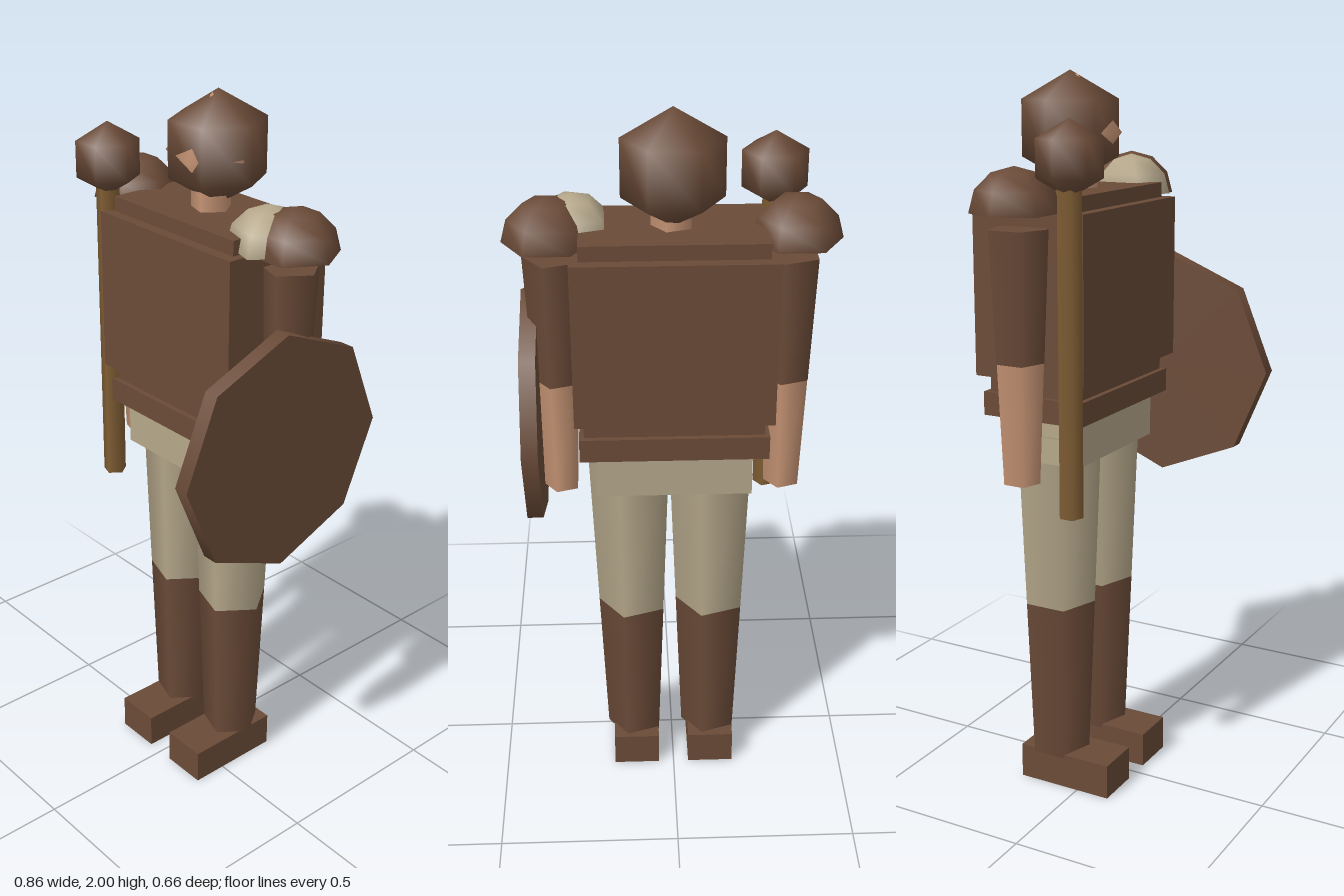
import * as THREE from 'three';

const paint = (name, color) => {
  const m = new THREE.MeshStandardMaterial({ color });
  m.name = name;
  return m;
};

export function createModel() {
  const leather = paint('leather brown', 0x6b4b38);
  const cloth = paint('pale cloth', 0xb5a78a);
  const skin = paint('skin', 0xc69474);
  const wood = paint('staff wood', 0x805e34);
  const model = new THREE.Group();
  const Z = -0.09; // body axis

  const add = (name, geometry, material, x, y, z, parent = model) => {
    const mesh = new THREE.Mesh(geometry, material);
    mesh.name = name;
    mesh.position.set(x, y, z);
    parent.add(mesh);
    return mesh;
  };
  const box = (name, w, y0, y1, d, material, x = 0, z = Z) =>
    add(name, new THREE.BoxGeometry(w, y1 - y0, d), material, x, (y0 + y1) / 2, z);
  // Five-sided tapered limb with one corner towards +x
  const limb = (name, rTop, rBottom, y0, y1, material, x, z = Z) =>
    add(name, new THREE.CylinderGeometry(rTop, rBottom, y1 - y0, 5).rotateY(Math.PI / 2),
      material, x, (y0 + y1) / 2, z);
  // Closed half sphere, flat side down
  const dome = (name, r, sides, material, x, y, z) => {
    const group = new THREE.Group();
    group.name = name;
    group.position.set(x, y, z);
    model.add(group);
    const shell = new THREE.SphereGeometry(r, sides, 3, 0, Math.PI * 2, 0, Math.PI / 2);
    add(name + 'Shell', shell.rotateY(Math.PI), material, 0, 0, 0, group);
    add(name + 'Base', new THREE.CircleGeometry(r, sides).rotateX(Math.PI / 2), material, 0, 0, 0, group);
  };

  // Head, with the face just breaking through the helmet
  add('helmet', new THREE.SphereGeometry(0.15, 6, 3), leather, 0, 1.85, -0.11);
  add('head', new THREE.SphereGeometry(0.122, 5, 2).rotateY(Math.PI).scale(1, 1.25, 1), skin, 0, 1.84, Z);
  limb('neck', 0.055, 0.055, 1.66, 1.8, skin, 0);

  // Torso
  box('tunic', 0.47, 1.15, 1.695, 0.27, leather);
  box('breastplate', 0.516, 1.21, 1.655, 0.332, leather);
  box('belt', 0.495, 1.1, 1.165, 0.3, leather);
  box('hips', 0.414, 0.975, 1.1, 0.24, cloth);

  // Limbs
  for (const [side, s] of [['left', 1], ['right', -1]]) {
    limb(side + 'Thigh', 0.12, 0.101, 0.55, 1.05, cloth, s * 0.11);
    limb(side + 'Boot', 0.101, 0.083, 0.09, 0.55, leather, s * 0.11);
    box(side + 'Foot', 0.132, 0, 0.1, 0.282, leather, s * 0.11, -0.042);
    limb(side + 'Sleeve', 0.08, 0.065, 1.27, 1.615, leather, s * 0.3);
    limb(side + 'Forearm', 0.064, 0.05, 0.945, 1.27, skin, s * 0.3);
    dome(side + 'ShoulderPad', 0.117, 6, leather, s * 0.312, 1.655, Z);
  }
  dome('shoulderWrap', 0.109, 5, cloth, 0.251, 1.66, -0.059);

  // Mace in the right hand
  limb('maceShaft', 0.033, 0.033, 0.86, 1.75, wood, -0.268, 0.042);
  add('maceHead', new THREE.SphereGeometry(0.098, 6, 3), leather, -0.265, 1.792, 0.042);

  // Octagonal shield on the left arm
  add('shield', new THREE.CylinderGeometry(0.328, 0.328, 0.043, 8).rotateZ(Math.PI / 2),
    leather, 0.371, 1.158, 0);

  return model;
}
